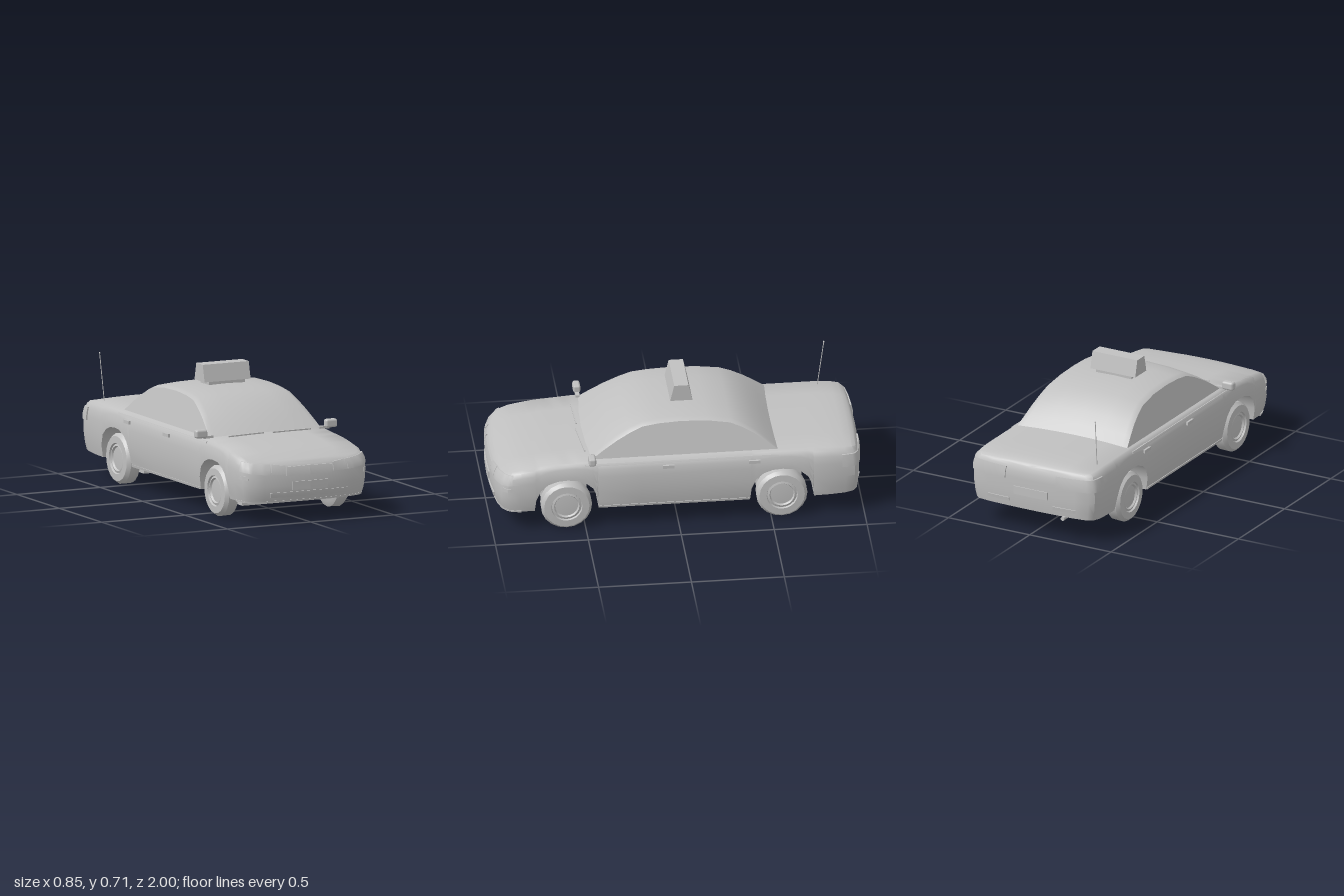
import * as THREE from 'three';
import { toCreasedNormals } from 'three/addons/utils/BufferGeometryUtils.js';
import { RoundedBoxGeometry } from 'three/addons/geometries/RoundedBoxGeometry.js';

const grey = new THREE.MeshStandardMaterial({ color: 0xc0c0c0 });
grey.name = 'plain grey';

// Piecewise linear lookup in [[x, y], ...] with ascending x
function interp(table, x) {
  if (x <= table[0][0]) return table[0][1];
  for (let i = 1; i < table.length; i++) {
    const [x0, y0] = table[i - 1], [x1, y1] = table[i];
    if (x <= x1) return y0 + (y1 - y0) * (x - x0) / (x1 - x0);
  }
  return table[table.length - 1][1];
}

// Skin over closed rings of points; rings run from front to back, counterclockwise from the front
function loft(rings, crease = 0.6) {
  const n = rings[0].length, index = [];
  for (let k = 0; k < rings.length - 1; k++) {
    for (let i = 0; i < n; i++) {
      const j = (i + 1) % n, a = k * n + i, b = k * n + j;
      index.push(a, a + n, b, b, a + n, b + n);
    }
  }
  const g = new THREE.BufferGeometry();
  g.setAttribute('position', new THREE.Float32BufferAttribute(rings.flat(2), 3));
  g.setIndex(index);
  return toCreasedNormals(g, crease);
}

// Body plan: stations [z, half width, underside height]
const archShape = [[0.172, 0.12], [0.165, 0.19], [0.14, 0.25], [0.1, 0.285], [0.05, 0.303], [0, 0.307]];
const arch = (c) => [
  ...archShape.map(([d, b]) => [c + d, 0.385, b]),
  ...archShape.slice(0, -1).reverse().map(([d, b]) => [c - d, 0.385, b]),
];
const WHEEL_Z = [0.602, -0.557];
const stations = [
  [0.994, 0, 0.12], [0.99, 0.13, 0.12], [0.976, 0.265, 0.12], [0.953, 0.335, 0.12],
  [0.92, 0.368, 0.12], [0.85, 0.383, 0.12],
  ...arch(WHEEL_Z[0]), [0.2, 0.385, 0.12], [-0.1, 0.385, 0.12], ...arch(WHEEL_Z[1]),
  [-0.82, 0.385, 0.123], [-0.9, 0.383, 0.128], [-0.95, 0.372, 0.132], [-0.972, 0.345, 0.134],
  [-0.982, 0.265, 0.134], [-0.987, 0.13, 0.134], [-0.989, 0, 0.134],
];
const LAST = stations.length - 1;
const topTable = [[-0.99, 0.38], [-0.95, 0.395], [-0.85, 0.404], [0.48, 0.402], [0.7, 0.386],
  [0.9, 0.357], [0.96, 0.335], [1, 0.325]];
const widthTable = [[0, 0.955], [0.15, 0.978], [0.4, 1], [0.7, 1], [0.85, 0.985], [0.95, 0.955], [1, 0.91]];
const noseTable = [[0, 0.014], [0.2, 0.002], [0.5, 0], [0.8, 0.006], [0.93, 0.016], [1, 0.034]];
const tailTable = [[0, 0.012], [0.3, 0], [0.85, 0], [1, 0.014]];

// Point of the body side at plan position (z, w) and height y
function sidePoint(z, w, y) {
  const v = (y - 0.12) / (interp(topTable, z) - 0.12);
  const front = THREE.MathUtils.smoothstep(z, 0.8, 0.95);
  const back = THREE.MathUtils.smoothstep(-z, 0.85, 0.96);
  return [w * interp(widthTable, v), y, z - front * interp(noseTable, v) + back * interp(tailTable, v)];
}

function bodyGeometry() {
  const levels = [0, 0.15, 0.4, 0.7, 0.85, 0.95, 1];
  return loft(stations.map(([z, w, b]) => {
    const t = interp(topTable, z);
    const right = levels.map((u) => sidePoint(z, w, b + u * (t - b)));
    const left = right.map(([x, y, pz]) => [-x, y, pz]).reverse();
    const [ex, , ez] = right[right.length - 1];
    const crown = 0.01 * Math.min(1, w / 0.38);
    const top = [0.6, 0.3, 0, -0.3, -0.6].map((s) => [ex * s, t + crown * (1 - s * s), ez]);
    return [...right, ...top, ...left];
  }), 0.65);
}

// Fractional station number at a given z
function stationAt(z) {
  const k = stations.findIndex((s) => s[0] <= z);
  return k - 1 + (stations[k - 1][0] - z) / (stations[k - 1][0] - stations[k][0]);
}

// Thin panel following the body skin from station k0 to k1, bottom and top as [start, end]
function panelGeometry(side, k0, k1, bottom, top, depth) {
  const n = 12, steps = [[0, 0]];
  for (let i = 0; i <= n; i++) steps.push([i / n, depth]);
  steps.push([1, 0]);
  const rings = steps.map(([f, d]) => {
    const k = k0 + (k1 - k0) * f, i = Math.min(Math.floor(k), LAST - 1), r = k - i;
    const z = THREE.MathUtils.lerp(stations[i][0], stations[i + 1][0], r);
    const w = THREE.MathUtils.lerp(stations[i][1], stations[i + 1][1], r);
    const nx = (w / 0.385) ** 4, nz = Math.sign(z) * (1 - nx);
    const lo = bottom[0] + (bottom[1] - bottom[0]) * f, hi = top[0] + (top[1] - top[0]) * f;
    const at = (y, o) => {
      const p = sidePoint(z, w, y);
      return [side * (p[0] + nx * o), y, p[2] + nz * o];
    };
    const mid = (lo + hi) / 2;
    const ring = [at(lo, d), at(mid, d), at(hi, d), at(hi, -0.004), at(lo, -0.004)];
    return side > 0 ? ring : ring.reverse();
  });
  return loft(rings);
}

// Cabin: centre line [z, roof height]
function cabinGeometry() {
  const line = [[0.5, 0.4], [0.43, 0.458], [0.355, 0.513], [0.27, 0.56], [0.195, 0.588], [0.1, 0.6], [-0.02, 0.606],
    [-0.16, 0.602], [-0.285, 0.584], [-0.35, 0.557], [-0.42, 0.51], [-0.48, 0.458], [-0.542, 0.4]];
  const lean = (y) => 0.338 - 0.29 * (y - 0.4);
  return loft(line.map(([z, t]) => {
    const bow = 0.035 * THREE.MathUtils.smoothstep(z, 0.05, 0.4);
    const h = THREE.MathUtils.clamp((t - 0.4) / 0.15, 0, 1);
    const edge = t - 0.026 * h, ex = lean(edge);
    const right = [[0.344, 0.38], [(0.344 + ex) / 2, (0.38 + edge) / 2], [ex, edge],
      [ex - 0.01 * h - 0.004, edge + 0.008 * h], [ex - 0.032, edge + 0.013 * h], [ex * 0.5, t - 0.004 * h]];
    const ring = [...right, [0, t], ...right.map(([x, y]) => [-x, y]).reverse()];
    return ring.map(([x, y]) => [x, y, z - bow * (x / 0.34) ** 2]);
  }), 0.6);
}

export function createModel() {
  const car = new THREE.Group();
  car.name = 'car';
  const add = (name, geometry, x = 0, y = 0, z = 0) => {
    const m = new THREE.Mesh(geometry, grey);
    m.name = name;
    m.position.set(x, y, z);
    car.add(m);
    return m;
  };
  const box = (name, sx, sy, sz, x, y, z) => add(name, new THREE.BoxGeometry(sx, sy, sz), x, y, z);

  add('body', bodyGeometry());
  add('cabin', cabinGeometry());

  // Panels that hug the body, on both sides
  const panels = [
    ['innerHeadlight', 1.11, 1.72, [0.267, 0.268], [0.313, 0.322], 0.007],
    ['outerHeadlight', 1.78, 4.3, [0.268, 0.288], [0.322, 0.34], 0.008],
    ['grille', 0, 1.08, [0.258, 0.258], [0.308, 0.305], 0.006],
    ['frontPlate', 0, 0.81, [0.18, 0.18], [0.226, 0.226], 0.006],
    ['lowerIntake', 0, 1.78, [0.143, 0.143], [0.172, 0.17], 0.005],
    ['frontLip', 0, 5, [0.116, 0.116], [0.126, 0.126], 0.004],
    ['sideMarker', stationAt(0.945), stationAt(0.89), [0.24, 0.245], [0.262, 0.262], 0.004],
    ['beltTrim', stationAt(0.5), stationAt(-0.54), [0.38, 0.38], [0.39, 0.39], 0.005],
    ['sill', stationAt(0.425), stationAt(-0.38), [0.12, 0.12], [0.133, 0.133], 0.004],
    ['rearLight', stationAt(-0.88), LAST - 1.2, [0.3, 0.296], [0.37, 0.362], 0.009],
    ['rearPlate', LAST - 0.8, LAST, [0.215, 0.215], [0.26, 0.26], 0.006],
    ['rearReflector', LAST - 2.1, LAST - 1.05, [0.165, 0.165], [0.185, 0.185], 0.006],
  ];
  for (const [name, ...p] of panels) {
    for (const side of [1, -1]) add(name, panelGeometry(side, ...p));
  }

  // Wheels and the axle housings between them
  const tyreProfile = [[0, 0.287], [0.11, 0.287], [0.136, 0.3], [0.138, 0.355], [0.122, 0.374], [0.084, 0.376],
    [0.08, 0.366], [0.068, 0.37], [0.062, 0.36], [0, 0.364]].map(([r, h]) => new THREE.Vector2(r, h));
  const wheel = toCreasedNormals(new THREE.LatheGeometry(tyreProfile, 20), 0.5);
  for (const z of WHEEL_Z) {
    for (const side of [1, -1]) add('wheel', wheel, 0, 0.138, z).rotation.z = -side * Math.PI / 2;
    box('axleHousing', 0.535, 0.207, 0.232, 0, 0.169, z);
  }

  // Door mirrors and handles
  for (const side of [1, -1]) {
    add('mirror', new RoundedBoxGeometry(0.07, 0.046, 0.04, 1, 0.012), side * 0.39, 0.428, 0.468);
    box('mirrorArm', 0.06, 0.014, 0.022, side * 0.348, 0.408, 0.468);
    for (const z of [0.055, -0.408]) box('doorHandle', 0.012, 0.018, 0.062, side * 0.386, 0.36, z);
  }

  // Wipers
  box('wiper', 0.215, 0.007, 0.008, -0.138, 0.411, 0.51).rotation.set(0, 0.03, 0.02);
  box('wiper', 0.24, 0.007, 0.008, 0.138, 0.411, 0.504).rotation.set(0, 0.1, -0.01);

  // Roof sign: box tapering towards the top, on a low base
  const sign = new THREE.BoxGeometry(0.276, 0.092, 0.12);
  const pos = sign.attributes.position;
  for (let i = 0; i < pos.count; i++) {
    if (pos.getY(i) > 0) pos.setZ(i, pos.getZ(i) * 0.64);
  }
  sign.computeVertexNormals();
  add('roofSign', sign, 0, 0.666, -0.04);
  box('signBase', 0.216, 0.025, 0.1, 0, 0.611, -0.04);

  // Aerial
  const foot = new THREE.Vector3(-0.312, 0.4, -0.82), tip = new THREE.Vector3(-0.322, 0.662, -0.857);
  add('aerial', new THREE.TubeGeometry(new THREE.LineCurve3(foot, tip), 1, 0.0025, 6));
  add('aerialTip', new THREE.SphereGeometry(0.005, 8, 6), tip.x, tip.y, tip.z);

  // Exhaust pipe
  const pipe = new THREE.CylinderGeometry(0.011, 0.011, 0.12, 10);
  add('exhaust', pipe, -0.2, 0.13, -0.938).rotation.x = Math.PI / 2;
  return car;
}
